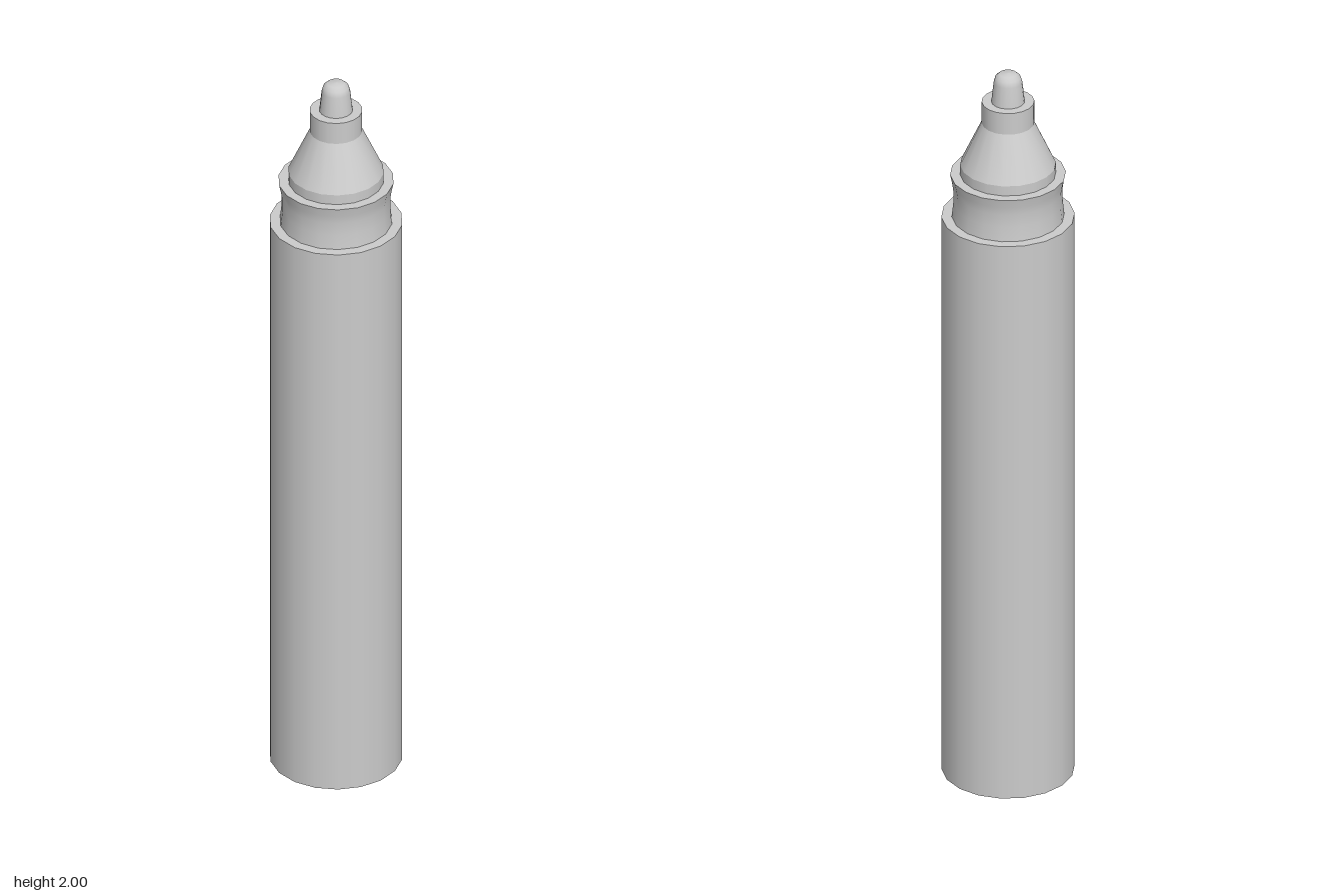
import * as THREE from 'three';

const SIDES = 18;
const material = new THREE.MeshStandardMaterial({ color: 0xcccccc });

// Each run of [radius, y] points is smooth; edges between runs stay sharp.
function turnedPart(name, runs) {
  const part = new THREE.Group();
  part.name = name;
  runs.forEach((run, i) => {
    const points = run.map(([r, y]) => new THREE.Vector2(r, y));
    const mesh = new THREE.Mesh(new THREE.LatheGeometry(points, SIDES, Math.PI / 2), material);
    mesh.name = `${name}Surface${i + 1}`;
    part.add(mesh);
  });
  return part;
}

export function createModel() {
  const pen = new THREE.Group();
  pen.name = 'markerPen';

  // Barrel with a shallow conical end and a flat shoulder
  pen.add(turnedPart('barrel', [
    [[0, 0], [0.167, 0.025]],
    [[0.167, 0.025], [0.167, 1.596]],
    [[0.167, 1.596], [0.138, 1.596]],
  ]));

  // Waisted collar that holds the cap
  pen.add(turnedPart('collar', [
    [[0.141, 1.596], [0.137, 1.635], [0.137, 1.67], [0.14, 1.692], [0.145, 1.715]],
    [[0.145, 1.715], [0.12, 1.715]],
  ]));

  // Tapered nose with a short straight neck
  pen.add(turnedPart('nose', [
    [[0.12, 1.715], [0.12, 1.742]],
    [[0.12, 1.742], [0.066, 1.86]],
    [[0.066, 1.86], [0.066, 1.92]],
    [[0.066, 1.92], [0.04, 1.92]],
  ]));

  // Rounded writing tip
  pen.add(turnedPart('nib', [
    [[0.042, 1.92], [0.036, 1.975], [0.032, 1.989], [0.022, 1.998], [0, 2]],
  ]));

  return pen;
}
